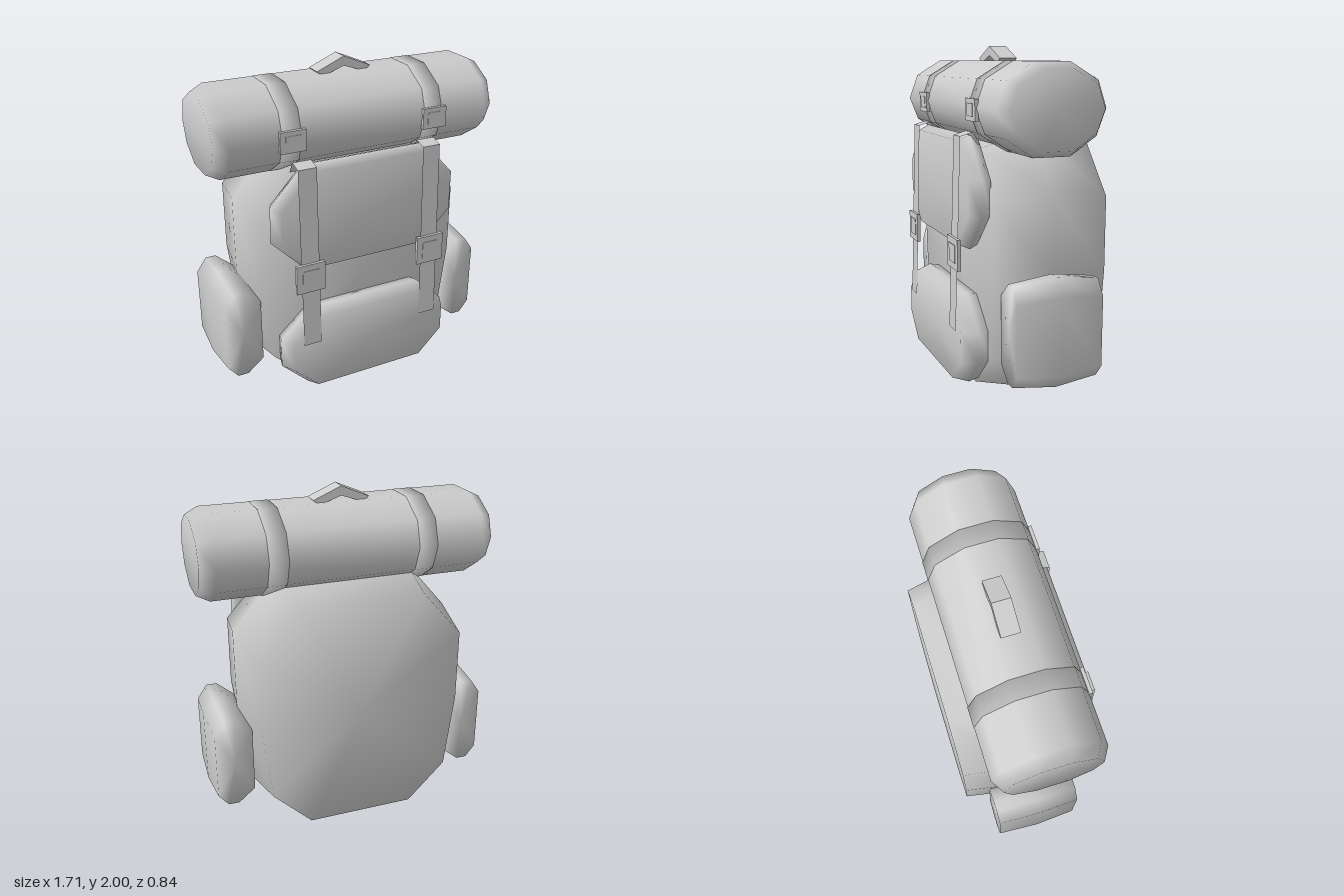
import * as THREE from 'three';

const fabric = new THREE.MeshStandardMaterial({ color: 0xcccccc });
fabric.name = 'grey fabric';
const strapFabric = fabric;
strapFabric.side = THREE.DoubleSide;

// Closed smooth loft. Rings are { at, sx, sy } scalings of a counterclockwise profile.
function loft(profile, center, rings, axis = 'z') {
  const n = profile.length, pos = [], idx = [];
  const put = (u, v, w) => (axis === 'z' ? pos.push(u, v, w) : pos.push(w, u, v));
  for (const { at, sx = 1, sy = 1 } of rings)
    for (const [u, v] of profile)
      put(center[0] + (u - center[0]) * sx, center[1] + (v - center[1]) * sy, at);
  for (let r = 0; r < rings.length - 1; r++)
    for (let i = 0; i < n; i++) {
      const j = (i + 1) % n, a = r * n + i, b = r * n + j;
      idx.push(a, b, b + n, a, b + n, a + n);
    }
  const last = (rings.length - 1) * n, c0 = rings.length * n, c1 = c0 + 1;
  put(center[0], center[1], rings[0].at);
  put(center[0], center[1], rings[rings.length - 1].at);
  for (let i = 0; i < n; i++) {
    const j = (i + 1) % n;
    idx.push(c0, j, i, c1, last + i, last + j);
  }
  const g = new THREE.BufferGeometry();
  g.setAttribute('position', new THREE.Float32BufferAttribute(pos, 3));
  g.setIndex(idx);
  g.computeVertexNormals();
  return g;
}

// Right half listed bottom to top, mirrored into a closed outline
const symmetric = (half) => [...half, ...half.map(([x, y]) => [-x, y]).reverse()];

// Thin ribbon of constant width following [z, y] points
function ribbon(path, width) {
  const pos = [], idx = [];
  path.forEach(([z, y], i) => {
    pos.push(-width / 2, y, z, width / 2, y, z);
    if (i) {
      const a = 2 * i - 2;
      idx.push(a, a + 2, a + 3, a, a + 3, a + 1);
    }
  });
  const g = new THREE.BufferGeometry();
  g.setAttribute('position', new THREE.Float32BufferAttribute(pos, 3));
  g.setIndex(idx);
  const flat = g.toNonIndexed();
  flat.computeVertexNormals();
  return flat;
}

export function createModel() {
  const model = new THREE.Group();
  model.name = 'backpack';
  const add = (name, geometry, parent = model) => {
    const m = new THREE.Mesh(geometry, fabric);
    m.name = name;
    parent.add(m);
    return m;
  };

  // Main bag
  const bag = symmetric([[0.35, 0], [0.6, 0.25], [0.66, 0.75], [0.66, 1.22], [0.4, 1.52]]);
  add('mainBag', loft(bag, [0, 0.76], [
    { at: -0.43, sx: 0.91, sy: 0.9 },
    { at: -0.08 },
    { at: 0.25, sx: 0.94, sy: 0.9 },
  ]));

  // Top flap and front pocket
  const flap = symmetric([[0.38, 0.885], [0.58, 1.09], [0.58, 1.3], [0.38, 1.52]]);
  add('topFlap', loft(flap, [0, 1.2], [
    { at: 0.24, sx: 0.95, sy: 0.93 },
    { at: 0.3 },
    { at: 0.365, sx: 0.92, sy: 0.91 },
  ]));
  const pocket = symmetric([[0.38, 0.105], [0.545, 0.27], [0.545, 0.45], [0.36, 0.625]]);
  add('frontPocket', loft(pocket, [0, 0.365], [
    { at: 0.22, sx: 0.96, sy: 0.93 },
    { at: 0.31 },
    { at: 0.4, sx: 0.92, sy: 0.9 },
  ]));

  // Side pockets
  const side = [[0.72, 0.18], [0.79, 0.18], [0.855, 0.26], [0.855, 0.7],
    [0.79, 0.795], [0.72, 0.795], [0.61, 0.7], [0.61, 0.27]];
  const sideGeometry = loft(side, [0.73, 0.4875], [
    { at: -0.25, sx: 0.9, sy: 0.9 },
    { at: 0 },
    { at: 0.25, sx: 0.9, sy: 0.9 },
  ]);
  for (const [name, turn] of [['leftSidePocket', 0], ['rightSidePocket', Math.PI]]) {
    const m = add(name, sideGeometry);
    m.rotation.y = turn;
    m.position.z = -0.04;
  }

  // Bedroll across the top, profile as [y, z]
  const roll = [[1.915, 0.09], [1.82, 0.25], [1.67, 0.305], [1.53, 0.25], [1.43, 0.1],
    [1.43, -0.11], [1.53, -0.26], [1.675, -0.315], [1.82, -0.265], [1.915, -0.1]];
  const rollCenter = [1.673, -0.005];
  add('bedroll', loft(roll, rollCenter, [
    { at: -0.855, sx: 0.85, sy: 0.85 },
    { at: -0.78 },
    { at: 0.78 },
    { at: 0.855, sx: 0.85, sy: 0.85 },
  ], 'x'));

  // Carry handle
  const handle = new THREE.Shape([[-0.165, 1.93], [-0.13, 1.9], [0, 1.945], [0.13, 1.9],
    [0.165, 1.93], [0, 2]].map(([x, y]) => new THREE.Vector2(x, y)));
  add('carryHandle', new THREE.ExtrudeGeometry(handle, { depth: 0.105, bevelEnabled: false })
    .translate(0, 0, -0.07));

  // Square buckle: plate with a raised inner piece
  const buckle = (name, x, y, z, w, h) => {
    const g = new THREE.Group();
    g.name = name;
    g.position.set(x, y, z);
    add('buckleFrame', new THREE.BoxGeometry(w, h, 0.02), g);
    add('buckleCentre', new THREE.BoxGeometry(w * 0.58, h * 0.58, 0.026), g);
    model.add(g);
  };

  // Straps and buckles, mirrored left and right
  const path = [[0.26, 1.47], [0.3, 1.54], [0.372, 1.52], [0.392, 0.9], [0.408, 0.44]];
  for (const s of [1, -1]) {
    add('rollStrap', loft(roll, rollCenter, [
      { at: s * 0.435 - 0.055, sx: 1.008, sy: 1.008 },
      { at: s * 0.435 + 0.055, sx: 1.008, sy: 1.008 },
    ], 'x'));
    buckle('rollBuckle', s * 0.435, 1.66, 0.304, 0.15, 0.12);
    add('frontStrap', ribbon(path, 0.11)).position.x = s * 0.385;
    buckle('frontBuckle', s * 0.388, 0.877, 0.396, 0.175, 0.175);
  }
  return model;
}
